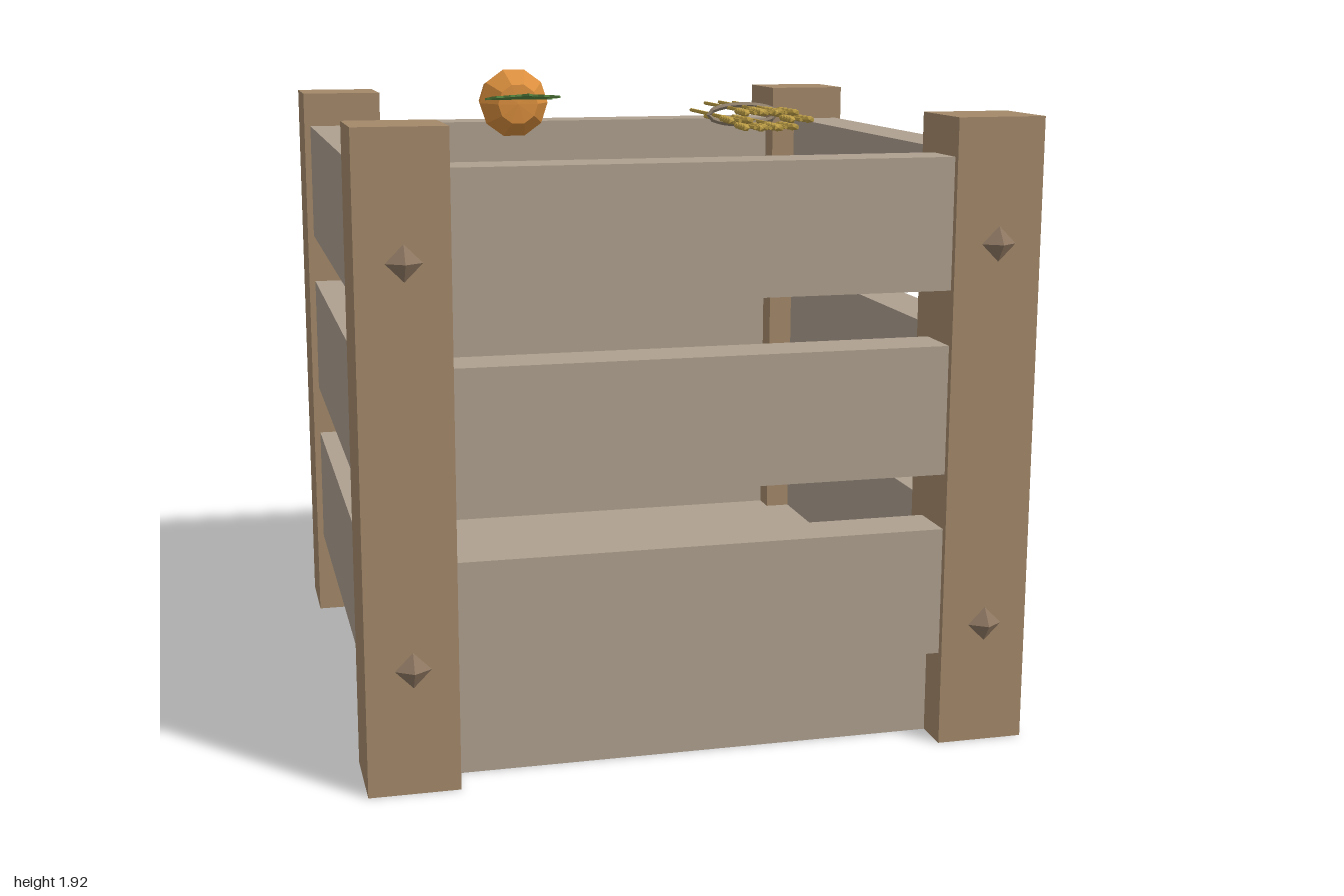
import * as THREE from 'three';

const paint = (name, color) => {
  const m = new THREE.MeshStandardMaterial({ color, flatShading: true });
  m.name = name;
  return m;
};

export function createModel() {
  const mats = {
    post: paint('postWood', 0xa3896a),
    slat: paint('slatWood', 0xaea08f),
    bolt: paint('boltBrown', 0x8f7862),
    carrot: paint('carrotOrange', 0xdb8f3e),
    leaf: paint('leafGreen', 0x5c8a42),
    wheat: paint('wheatGold', 0xbb9c45),
    tie: paint('tieTaupe', 0x8f7f6c),
  };
  mats.leaf.side = THREE.DoubleSide;

  const model = new THREE.Group();
  model.name = 'crate';

  const add = (parent, name, geo, mat, x = 0, y = 0, z = 0) => {
    const mesh = new THREE.Mesh(geo, mat);
    mesh.name = name;
    mesh.position.set(x, y, z);
    parent.add(mesh);
    return mesh;
  };

  // Solid base, set in behind the slats
  add(model, 'base', new THREE.BoxGeometry(1.69, 0.27, 1.69), mats.slat, 0, 0.135, 0);

  // Corner posts, with pointed bolts on the front and back
  const postGeo = new THREE.BoxGeometry(0.255, 1.812, 0.255);
  const boltGeo = new THREE.OctahedronGeometry(1);
  for (const sx of [-1, 1]) {
    for (const sz of [-1, 1]) {
      add(model, 'cornerPost', postGeo, mats.post, sx * 0.828, 0.906, sz * 0.828);
      for (const y of [0.358, 1.462]) {
        add(model, 'bolt', boltGeo, mats.bolt, sx * 0.826, y, sz * 0.965).scale.set(0.05, 0.05, 0.035);
      }
    }
  }

  // Three slats on each of the four sides
  const slatGeo = new THREE.BoxGeometry(1.402, 0.372, 0.155);
  for (const y of [0.455, 0.988, 1.517]) {
    for (let i = 0; i < 4; i++) {
      const a = (i * Math.PI) / 2;
      add(model, 'slat', slatGeo, mats.slat, Math.sin(a) * 0.858, y, Math.cos(a) * 0.858).rotation.y = a;
    }
  }

  // Carrot lying along z, tip towards the back
  const carrot = new THREE.Group();
  carrot.name = 'carrot';
  carrot.position.set(-0.385, 1.82, 0);
  model.add(carrot);
  const profile = [[0, -0.38], [0.032, -0.27], [0.06, -0.15], [0.085, -0.01], [0.104, 0.125], [0.06, 0.2], [0, 0.205]]
    .map(([r, z]) => new THREE.Vector2(r, z));
  const rootGeo = new THREE.LatheGeometry(profile, 10);
  rootGeo.rotateY(Math.PI / 2);
  rootGeo.rotateX(Math.PI / 2);
  add(carrot, 'carrotRoot', rootGeo, mats.carrot);

  // Jagged leaf: one half outline, mirrored, with two small holes
  const half = [[0.08, 0.185], [0.102, 0.215], [0.08, 0.24], [0.105, 0.27], [0.08, 0.285], [0.105, 0.315],
    [0.092, 0.36], [0.068, 0.338], [0.05, 0.352], [0.03, 0.325], [0.032, 0.352], [0.016, 0.345]];
  const outline = [...half, [0, 0.375], ...half.map(([x, z]) => [-x, z]).reverse()];
  const leafShape = new THREE.Shape(outline.map(([x, z]) => new THREE.Vector2(x, z)));
  for (const s of [-1, 1]) {
    const hole = new THREE.Path();
    hole.absellipse(s * 0.032, 0.288, 0.009, 0.009, 0, Math.PI * 2, true);
    leafShape.holes.push(hole);
  }
  const leafGeo = new THREE.ExtrudeGeometry(leafShape, { depth: 0.006, bevelEnabled: false, curveSegments: 2 });
  leafGeo.rotateX(Math.PI / 2);
  const leaf = leafGeo.attributes.position;
  for (let i = 0; i < leaf.count; i++) {
    // Gentle lift along the leaf and a droop at its edges
    const lift = (leaf.getZ(i) - 0.185) * 0.09 - Math.abs(leaf.getX(i)) * 0.06;
    leaf.setY(i, leaf.getY(i) + 0.023 + lift);
  }
  leafGeo.computeVertexNormals();
  add(carrot, 'carrotLeaf', leafGeo, mats.leaf);

  // Wheat bundle: a flattened ring of stalks, each with paired grains
  const wheat = new THREE.Group();
  wheat.name = 'wheatBundle';
  wheat.position.set(0.381, 1.765, 0);
  model.add(wheat);
  const stalkGeo = new THREE.CylinderGeometry(0.006, 0.006, 0.56, 5);
  stalkGeo.rotateX(Math.PI / 2);
  const grainGeo = new THREE.IcosahedronGeometry(1, 0);
  const spots = [[-2, 0], [-1, 1], [-1, -1], [0, 1.1], [0, -1.1], [1, 1], [1, -1], [2, 0]];
  for (const [i, j] of spots) {
    const x = i * 0.0485;
    const y = j * 0.022;
    add(wheat, 'stalk', stalkGeo, mats.wheat, x, y, -0.01);
    for (let k = 0; k < 4; k++) {
      for (const s of [-1, 1]) {
        const grain = add(wheat, 'grain', grainGeo, mats.wheat, x + s * (0.02 + k * 0.0025), y, 0.155 + k * 0.035);
        grain.scale.set(0.013, 0.012, 0.025);
        grain.rotation.y = s * 0.45;
      }
    }
  }

  // Tie wrapped round the stalks
  const ring = [];
  for (let i = 0; i < 16; i++) {
    const a = (i * Math.PI) / 8;
    ring.push(new THREE.Vector3(Math.cos(a) * 0.112, Math.sin(a) * 0.03, 0.03 - 0.055));
  }
  const tieCurve = new THREE.CatmullRomCurve3(ring, true);
  add(wheat, 'tie', new THREE.TubeGeometry(tieCurve, 24, 0.009, 5, true), mats.tie);

  return model;
}
